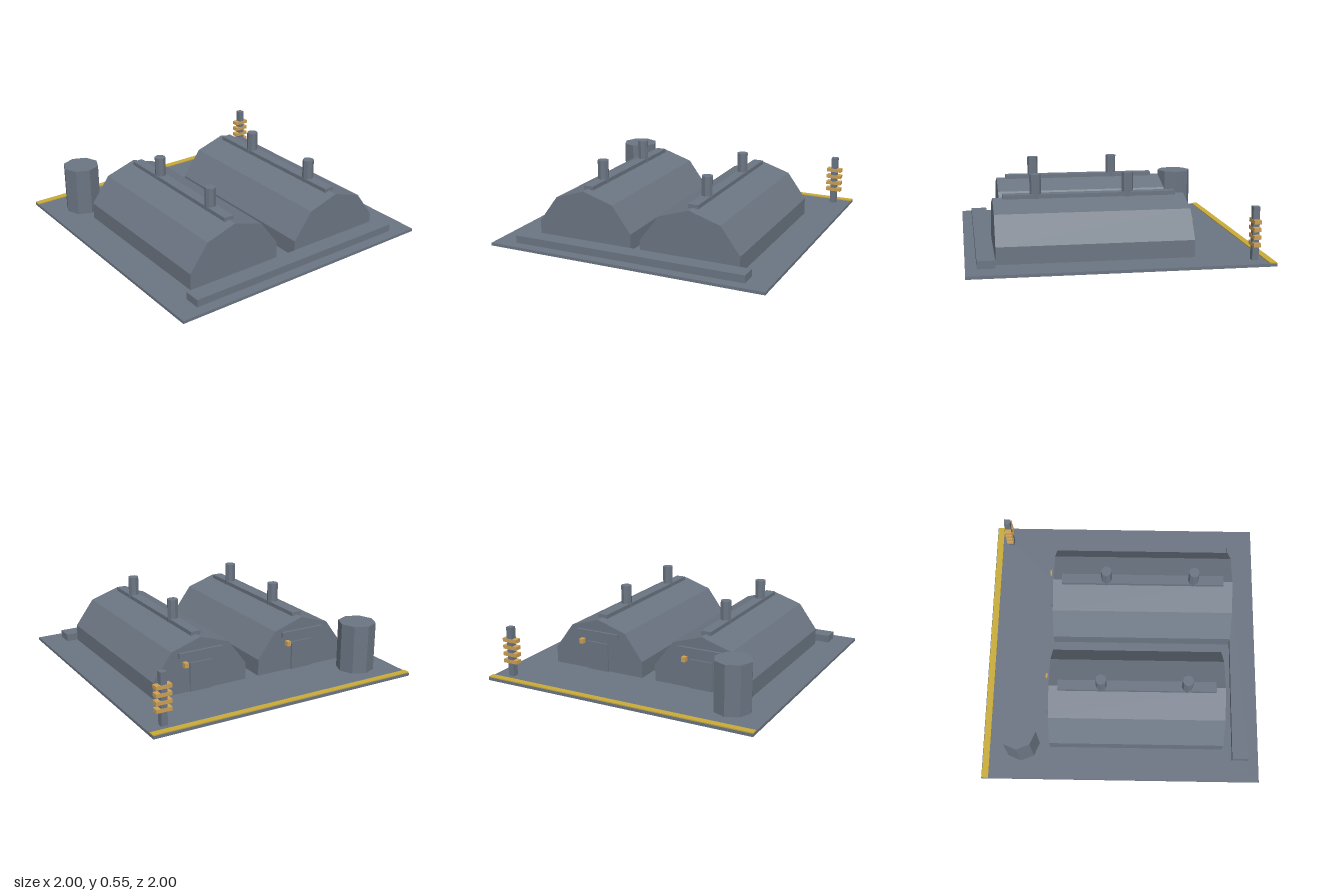
import * as THREE from 'three';

const slate = new THREE.MeshStandardMaterial({ color: 0x6b7582, flatShading: true });
slate.name = 'slate grey';
const yellow = new THREE.MeshStandardMaterial({ color: 0xc9ab3a, flatShading: true });
yellow.name = 'stripe yellow';
const amber = new THREE.MeshStandardMaterial({ color: 0xcda055, flatShading: true });
amber.name = 'amber';

function add(parent, name, geometry, material, x = 0, y = 0, z = 0) {
  const mesh = new THREE.Mesh(geometry, material);
  mesh.name = name;
  mesh.position.set(x, y, z);
  parent.add(mesh);
  return mesh;
}

// Box given by its min and max on each axis
function box(parent, name, material, [x0, x1], [y0, y1], [z0, z1]) {
  return add(parent, name, new THREE.BoxGeometry(x1 - x0, y1 - y0, z1 - z0), material,
    (x0 + x1) / 2, (y0 + y1) / 2, (z0 + z1) / 2);
}

function createHut(name, x, back, front, ventZs) {
  const hut = new THREE.Group();
  hut.name = name;
  hut.position.x = x;

  // Faceted barrel shell
  const profile = new THREE.Shape([
    [-0.355, 0.02], [0.355, 0.02], [0.355, 0.137], [0.218, 0.322],
    [0, 0.392], [-0.218, 0.322], [-0.355, 0.137],
  ].map(([px, py]) => new THREE.Vector2(px, py)));
  const shell = new THREE.ExtrudeGeometry(profile, { depth: front - back, bevelEnabled: false });
  add(hut, 'shell', shell, slate, 0, 0, back);

  // Ridge beam and roof vents
  box(hut, 'ridge', slate, [-0.036, 0.036], [0.385, 0.413], [back + 0.065, front - 0.067]);
  for (const z of ventZs) {
    add(hut, 'vent', new THREE.CylinderGeometry(0.039, 0.039, 0.165, 8), slate, 0, 0.465, z);
  }

  // Rear door, lintel and lamp
  box(hut, 'door', slate, [-0.083, 0.083], [0.02, 0.225], [back - 0.012, back]);
  box(hut, 'lintel', slate, [-0.167, 0.167], [0.272, 0.308], [back - 0.018, back]);
  box(hut, 'lamp', amber, [0.107, 0.137], [0.207, 0.241], [back - 0.036, back]);
  return hut;
}

export function createModel() {
  const model = new THREE.Group();
  model.name = 'hutCompound';

  // Ground slab, rear stripe and front kerb
  box(model, 'slab', slate, [-1, 1], [0, 0.02], [-1, 1]);
  box(model, 'rearStripe', yellow, [-1, 1], [0.02, 0.027], [-0.996, -0.95]);
  box(model, 'frontKerb', slate, [-0.845, 0.84], [0.02, 0.073], [0.808, 0.926]);

  // Pair of huts
  model.add(createHut('rightHut', -0.41, -0.513, 0.737, [-0.14, 0.463]));
  model.add(createHut('leftHut', 0.404, -0.513, 0.803, [-0.12, 0.513]));

  // Octagonal tank
  add(model, 'tank', new THREE.CylinderGeometry(0.131, 0.131, 0.346, 8), slate, -0.738, 0.193, -0.72);

  // Insulator mast
  const mast = new THREE.Group();
  mast.name = 'mast';
  mast.position.set(0.876, 0, -0.884);
  add(mast, 'post', new THREE.BoxGeometry(0.044, 0.357, 0.044), slate, 0, 0.1985, 0);
  for (let i = 0; i < 4; i++) {
    add(mast, 'insulator', new THREE.BoxGeometry(0.112, 0.026, 0.048), amber, 0, 0.127 + i * 0.051, 0);
  }
  model.add(mast);
  return model;
}
